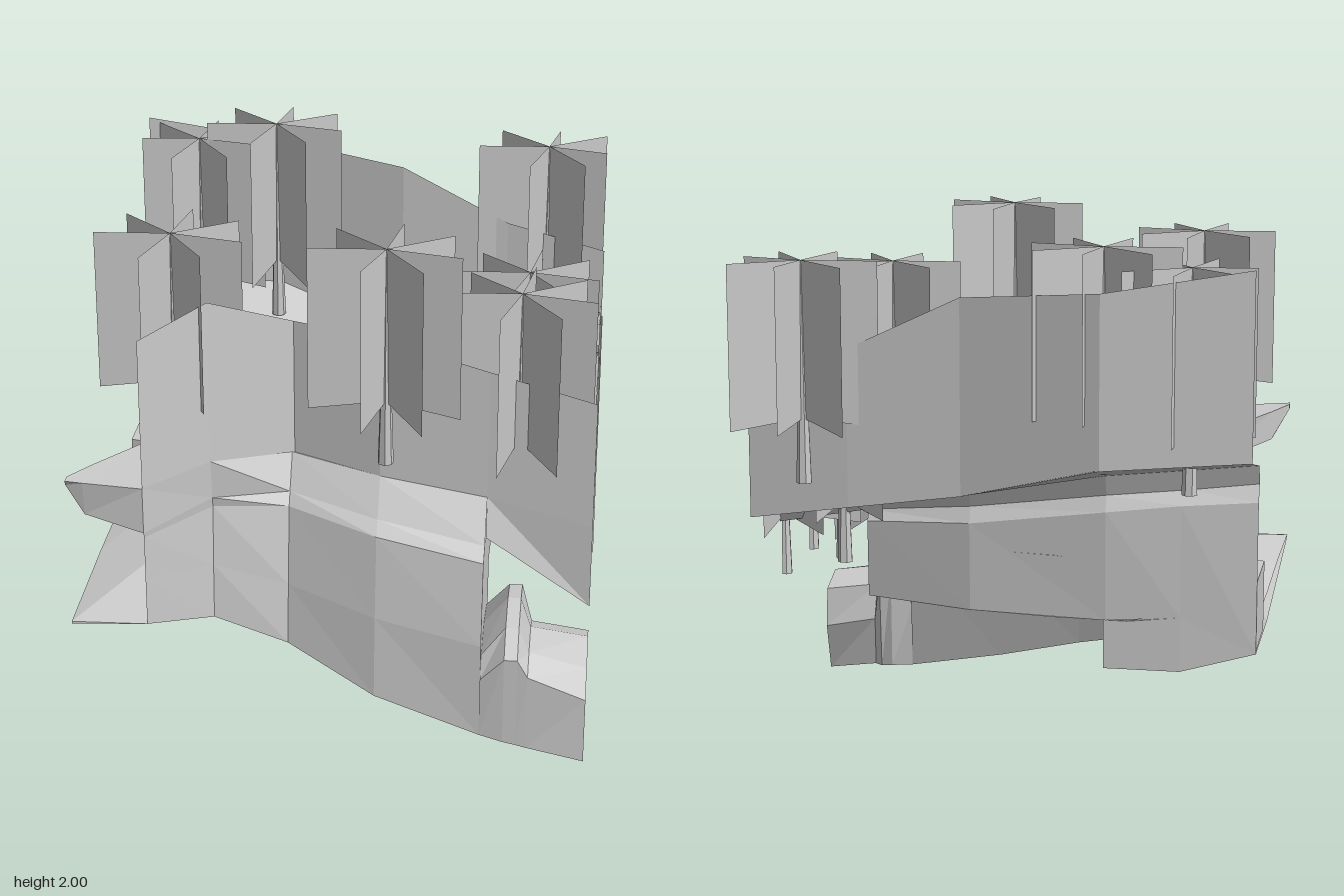
import * as THREE from 'three';

const LIMIT = 0.965;
const clamp = (v, lim = LIMIT) => Math.max(-lim, Math.min(lim, v));
const material = new THREE.MeshStandardMaterial({
  color: 0xcccccc, flatShading: true, side: THREE.DoubleSide,
});

// Mesh from a list of convex faces given as corner points [x, y, z]
function facesMesh(name, faces) {
  const pos = [];
  for (const f of faces)
    for (let i = 1; i + 1 < f.length; i++) pos.push(...f[0], ...f[i], ...f[i + 1]);
  const geo = new THREE.BufferGeometry();
  geo.setAttribute('position', new THREE.Float32BufferAttribute(pos, 3));
  geo.computeVertexNormals();
  const mesh = new THREE.Mesh(geo, material);
  mesh.name = name;
  return mesh;
}

// Sheet joining neighbouring rows of points; closed wraps each row into a ring
function loft(name, rows, closed = false) {
  const faces = [];
  for (let i = 0; i + 1 < rows.length; i++) {
    const n = rows[i].length;
    for (let j = 0; j < (closed ? n : n - 1); j++) {
      const k = (j + 1) % n;
      faces.push([rows[i][j], rows[i][k], rows[i + 1][k], rows[i + 1][j]]);
    }
  }
  return facesMesh(name, faces);
}

// Cross-section at x from [z, y] pairs
const section = ([x, pts]) => pts.map(([z, y]) => [x, y, z]);

// Tree: thin tapered trunk with upright foliage cards radiating from it
const RAYS = [14, 58, 104, 176, 225, 278, 325];
function tree(x, z, top) {
  const g = new THREE.Group();
  g.name = 'tree';
  const base = top - 0.835, low = top - 0.62;
  const trunkGeo = new THREE.CylinderGeometry(0.004, 0.03, 0.82, 7);
  trunkGeo.translate(x, base + 0.41, z);
  const p = trunkGeo.attributes.position;
  for (let i = 0; i < p.count; i++) p.setX(i, clamp(p.getX(i)));
  const trunk = new THREE.Mesh(trunkGeo, material);
  trunk.name = 'trunk';
  const onEdge = x > 0.9;
  const angles = onEdge ? [90, 270, ...RAYS.filter((a) => a > 90 && a < 270)] : RAYS;
  const r = onEdge ? 0.31 : 0.285;
  const cards = angles.map((deg) => {
    const a = THREE.MathUtils.degToRad(deg);
    const cx = clamp(x, 0.955), ex = clamp(x + r * Math.cos(a), 0.955), ez = clamp(z + r * Math.sin(a));
    return [[cx, low + 0.03, z], [ex, low, ez], [ex, top, ez], [cx, top, z]];
  });
  g.add(trunk, facesMesh('foliageCards', cards));
  return g;
}

export function createModel() {
  const model = new THREE.Group();
  model.name = 'canyon';

  // Front bank: rim, lip, cliff, underside, inner wall and the slab's underside
  const bank = [
    [-0.68, [[0.955, 1.12], [0.955, 0.94], [0.95, 0.92], [0.95, 0.75], [0.95, 0.56], [-0.1, 0.385], [-0.1, 0.6], [-0.61, 0.6]]],
    [-0.48, [[0.63, 1.09], [0.61, 0.93], [0.6, 0.89], [0.62, 0.65], [0.63, 0.43], [-0.1, 0.38], [-0.1, 0.58], [-0.62, 0.58]]],
    [-0.2, [[0.4, 1.04], [0.48, 0.91], [0.51, 0.86], [0.56, 0.55], [0.59, 0.31], [0.03, 0.3], [0.01, 0.58], [-0.61, 0.58]]],
    [0.15, [[0.52, 1.01], [0.61, 0.87], [0.66, 0.82], [0.71, 0.5], [0.74, 0.18], [0.17, 0.19], [0.15, 0.58], [-0.56, 0.58]]],
    [0.56, [[0.56, 0.96], [0.67, 0.81], [0.74, 0.77], [0.8, 0.45], [0.82, 0.08], [0.33, 0.08], [0.31, 0.58], [-0.42, 0.58]]],
  ];
  model.add(loft('frontBank', bank.map(section)));

  // Flat ends of the bank and of the valley block
  model.add(facesMesh('endWalls', [
    section([0.56, [
      [0.5, 0.81], [0.67, 0.81], [0.74, 0.77], [0.8, 0.45], [0.82, 0.08], [0.33, 0.08], [0.31, 0.58],
    ]]),
    section([0.56, [[0.5, 0.81], [0.31, 0.58], [-0.42, 0.58], [-0.42, 0.82], [0.31, 0.82]]]),
    section([-0.68, [[0.95, 0.94], [0.95, 0.56], [0.5, 0.66], [0.5, 0.93]]]),
  ]));

  // Bare rim that runs on past the bank
  model.add(loft('rimEnd', [
    [[0.56, 0.94, 0.475], [0.56, 0.96, 0.56], [0.56, 0.81, 0.6]],
    [[0.96, 0.87, 0.49], [0.96, 0.88, 0.61], [0.96, 0.54, 0.6]],
  ]));

  // Overhanging ledge at the left of the rim, tapering to a tip
  model.add(loft('leftLedge', [
    [-0.965, [[0.96, 1.14], [0.92, 1.14], [0.92, 1.12], [0.95, 1.12]]],
    [-0.9, [[0.96, 1.135], [0.79, 1.13], [0.8, 1.01], [0.94, 1.0]]],
    [-0.68, [[0.955, 1.12], [0.4, 1.1], [0.43, 0.97], [0.955, 0.94]]],
  ].map(section), true));

  // Low shore at the left, sloping up towards the valley
  const shore = [
    [-0.965, [[0.96, 0.56], [0.4, 0.58], [-0.1, 0.58], [-0.6, 0.6], [-0.6, 0.47], [-0.1, 0.46], [0.96, 0.55]]],
    [-0.68, [[0.95, 0.56], [0.5, 0.66], [-0.1, 0.68], [-0.61, 0.7], [-0.61, 0.39], [-0.1, 0.385], [0.95, 0.56]]],
  ].map(section);
  model.add(loft('leftShore', shore, true));

  // Rock block at the back left corner
  const rock = new THREE.Shape([
    [-0.965, 0.28], [-0.78, 0.23], [-0.64, 0.25], [-0.58, 0.42], [-0.6, 0.6], [-0.965, 0.6],
  ].map(([x, y]) => new THREE.Vector2(x, y)));
  const rockGeo = new THREE.ExtrudeGeometry(rock, { depth: 0.27, bevelEnabled: false });
  rockGeo.rotateX(-Math.PI / 2).translate(0, 0.48, 0);
  const rockMesh = new THREE.Mesh(rockGeo, material);
  rockMesh.name = 'cornerRock';
  model.add(rockMesh);

  // Thick part of the slab under the back left, with its end wall
  model.add(loft('backFoot', [
    [[-0.68, 0.385, -0.1], [-0.68, 0.39, -0.61], [-0.68, 0.7, -0.61]],
    [[-0.48, 0.38, -0.1], [-0.39, 0.39, -0.61], [-0.39, 0.58, -0.61]],
  ]));
  model.add(facesMesh('backFootEnd', [
    [[-0.48, 0.38, -0.1], [-0.39, 0.39, -0.61], [-0.39, 0.58, -0.61], [-0.48, 0.58, -0.1]],
  ]));

  // Valley: top of the rim, overhang, inner cliff and floor
  const valley = [
    [-0.68, [[0.955, 1.12], [0.4, 1.1], [0.43, 0.97], [0.5, 0.93], [0.5, 0.66], [-0.1, 0.68], [-0.61, 0.7]]],
    [-0.48, [[0.63, 1.09], [0.32, 1.07], [0.34, 0.95], [0.4, 0.9], [0.39, 0.77], [-0.1, 0.8], [-0.62, 0.8]]],
    [-0.2, [[0.4, 1.04], [0.29, 1.03], [0.3, 0.92], [0.34, 0.87], [0.33, 0.81], [0.01, 0.82], [-0.61, 0.82]]],
    [0.15, [[0.52, 1.01], [0.41, 1.0], [0.42, 0.9], [0.46, 0.84], [0.42, 0.82], [0.15, 0.82], [-0.56, 0.82]]],
    [0.56, [[0.56, 0.96], [0.475, 0.94], [0.48, 0.86], [0.5, 0.81], [0.45, 0.81], [0.31, 0.82], [-0.42, 0.82]]],
  ];
  model.add(loft('valley', valley.map(section)));

  // Back cliff rising from the slab to the plateau
  model.add(loft('backCliff', [
    [-0.965, [[-0.6, 0.47], [-0.6, 1.05], [-0.57, 1.12]]],
    [-0.68, [[-0.61, 0.6], [-0.62, 1.03], [-0.59, 1.09]]],
    [-0.4, [[-0.62, 0.58], [-0.64, 1.0], [-0.615, 1.06]]],
    [0.13, [[-0.56, 0.58], [-0.57, 0.92], [-0.54, 0.98]]],
    [0.56, [[-0.42, 0.58], [-0.43, 0.88], [-0.4, 0.92]]],
  ].map(section)));

  // Back plateau with its lip: [x, front z, front y, back z, back y]
  const plateau = [
    [-0.965, -0.6, 1.19, -0.91, 1.26], [-0.4, -0.645, 1.14, -0.95, 1.22], [0.13, -0.57, 1.06, -0.78, 1.07],
    [0.56, -0.43, 1.0, -0.73, 1.0], [0.96, -0.28, 0.9, -0.655, 0.93],
  ];
  model.add(loft('backPlateau', plateau.map(([x, fz, fy, bz, by]) =>
    [[x, fy - 0.08, fz + 0.03], [x, fy, fz], [x, by, bz]])));

  // Tall backdrop sheets: [x, z, bottom, top]
  const backdrop = (name, pts) =>
    model.add(loft(name, pts.map(([x, z, low, top]) => [[x, low, z], [x, top, z]])));
  backdrop('backBackdrop', [
    [-0.965, -0.91, 1.26, 1.95], [-0.42, -0.95, 1.22, 1.86], [0.12, -0.78, 1.07, 1.81],
    [0.56, -0.73, 1.0, 1.6], [0.96, -0.655, 0.93, 1.52],
  ]);
  backdrop('frontBackdrop', [
    [-0.68, 0.955, 1.12, 1.7], [-0.48, 0.63, 1.09, 1.73], [-0.19, 0.4, 1.04, 1.58],
    [0.15, 0.52, 1.01, 1.57], [0.56, 0.56, 0.96, 1.47], [0.96, 0.61, 0.88, 1.38],
  ]);

  // Rock spur at the low end, with a raised ridge around it
  const spur = [
    [0.56, [[0.82, 0.08], [0.82, 0.32], [0.77, 0.4], [0.6, 0.45], [0.42, 0.43], [0.34, 0.34], [0.33, 0.08]]],
    [0.65, [[0.83, 0.06], [0.84, 0.42], [0.75, 0.51], [0.6, 0.56], [0.45, 0.54], [0.33, 0.46], [0.34, 0.07]]],
    [0.7, [[0.83, 0.05], [0.84, 0.42], [0.75, 0.51], [0.6, 0.56], [0.45, 0.54], [0.33, 0.46], [0.36, 0.06]]],
    [0.74, [[0.83, 0.04], [0.84, 0.35], [0.75, 0.41], [0.6, 0.44], [0.46, 0.39], [0.41, 0.25], [0.42, 0.05]]],
    [0.96, [[0.84, 0], [0.83, 0.26], [0.76, 0.36], [0.6, 0.41], [0.46, 0.36], [0.44, 0.2], [0.5, 0]]],
  ].map(section);
  model.add(loft('spur', spur, true));
  model.add(facesMesh('spurEnd', [spur[spur.length - 1]]));

  // Trees: [x, z, top]
  for (const t of [
    [-0.72, -0.71, 1.93], [-0.4, -0.72, 2], [0.72, -0.75, 1.93], [0.67, -0.35, 1.53], [0.79, 0.09, 1.43],
    [0.96, -0.19, 1.43], [0.96, 0.23, 1.43], [-0.64, 0.45, 1.93], [0.19, 0.73, 2], [0.67, 0.52, 1.77],
  ]) model.add(tree(...t));

  return model;
}
